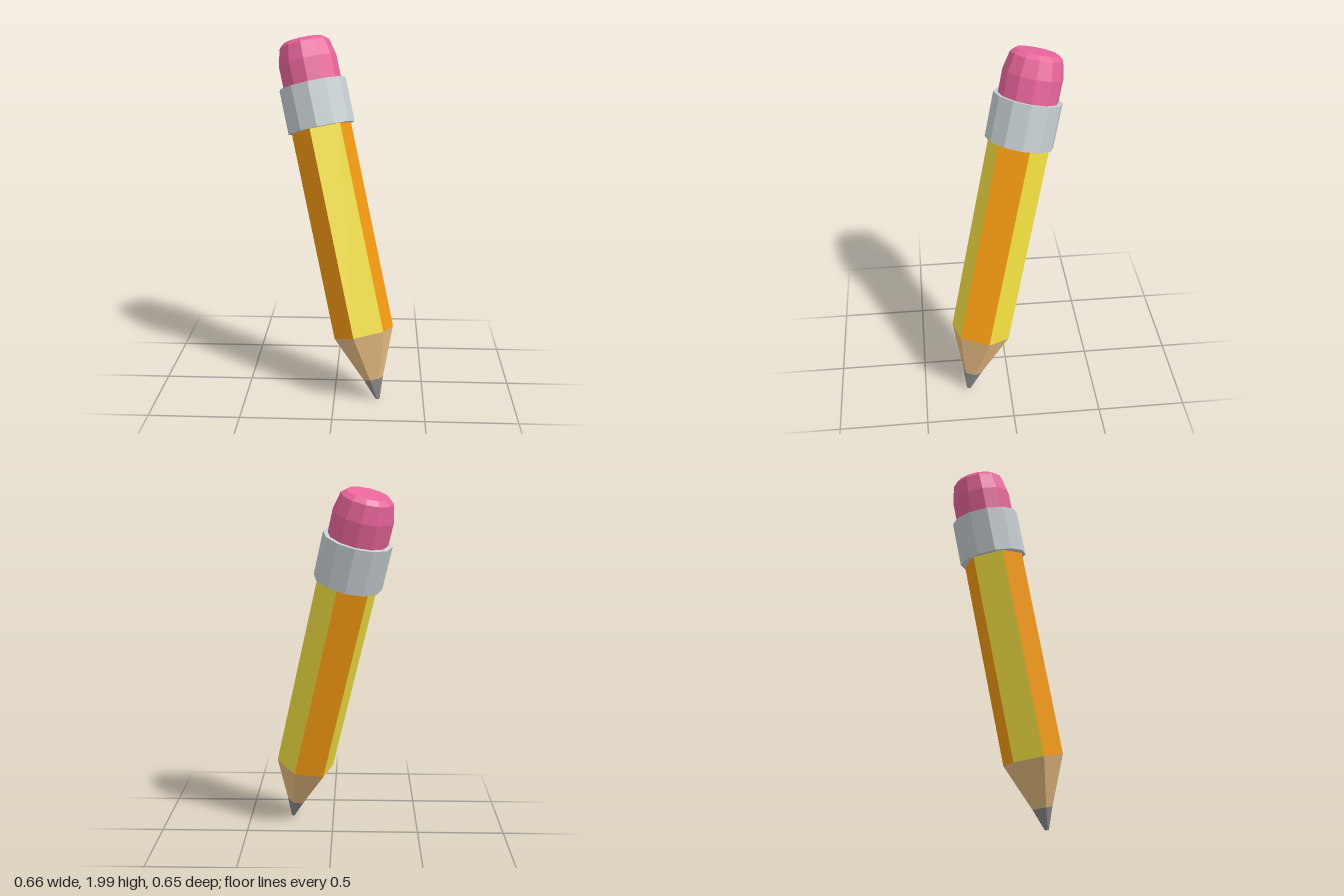
import * as THREE from 'three';

const flat = (color) => new THREE.MeshStandardMaterial({ color, flatShading: true });

// Faceted solid of revolution from [radius, height] pairs, bottom to top
function turned(name, profile, sides, start, color) {
  const points = profile.map(([r, y]) => new THREE.Vector2(r, y));
  const mesh = new THREE.Mesh(new THREE.LatheGeometry(points, sides, start), flat(color));
  mesh.name = name;
  return mesh;
}

export function createModel() {
  const model = new THREE.Group();
  model.name = 'pencil';

  // Everything is built upright from the tip, then leaned over
  const pencil = new THREE.Group();
  pencil.name = 'leaningPencil';
  model.add(pencil);

  const bodyRadius = 0.17, bodyBottom = 0.386, bodyTop = 1.6;

  // Sharpened end, six-sided like the body
  pencil.add(turned('graphiteTip', [[0, 0], [0.011, 0], [0.056, 0.12]], 6, 0, 0x8c8c8c));
  pencil.add(turned('sharpenedWood', [[0.056, 0.12], [bodyRadius, bodyBottom]], 6, 0, 0xe8bd82));

  // Hexagonal body with alternating painted faces
  const body = new THREE.Group();
  body.name = 'body';
  const paints = [flat(0xf59a12), flat(0xf5e342)];
  for (let i = 0; i < 6; i++) {
    const geometry = new THREE.CylinderGeometry(
      bodyRadius, bodyRadius, bodyTop - bodyBottom, 1, 1, true, i * Math.PI / 3, Math.PI / 3);
    const face = new THREE.Mesh(geometry, paints[i % 2]);
    face.position.y = (bodyTop + bodyBottom) / 2;
    face.name = i % 2 ? 'yellowBodyFace' : 'orangeBodyFace';
    body.add(face);
  }
  pencil.add(body);

  // Metal band and eraser, twelve-sided
  const turn = Math.PI / 12;
  pencil.add(turned('metalBand',
    [[0, 1.555], [0.19, 1.555], [0.19, 1.805], [0, 1.805]], 12, turn, 0xc6cfd2));
  pencil.add(turned('eraser',
    [[0.165, 1.78], [0.165, 1.935], [0.143, 2.03], [0.115, 2.053], [0, 2.053]], 12, turn, 0xe8659a));

  // Lean: y runs up the pencil, z points at the foremost edge of the hexagon
  const up = new THREE.Vector3(-0.214, 0.954, -0.212).normalize();
  const side = new THREE.Vector3().crossVectors(up, new THREE.Vector3(0.109, 0.0525, 0.121)).normalize();
  const edge = new THREE.Vector3().crossVectors(side, up);
  pencil.quaternion.setFromRotationMatrix(new THREE.Matrix4().makeBasis(side, up, edge));
  pencil.position.set(0.246, 0.003, 0.245);

  return model;
}
